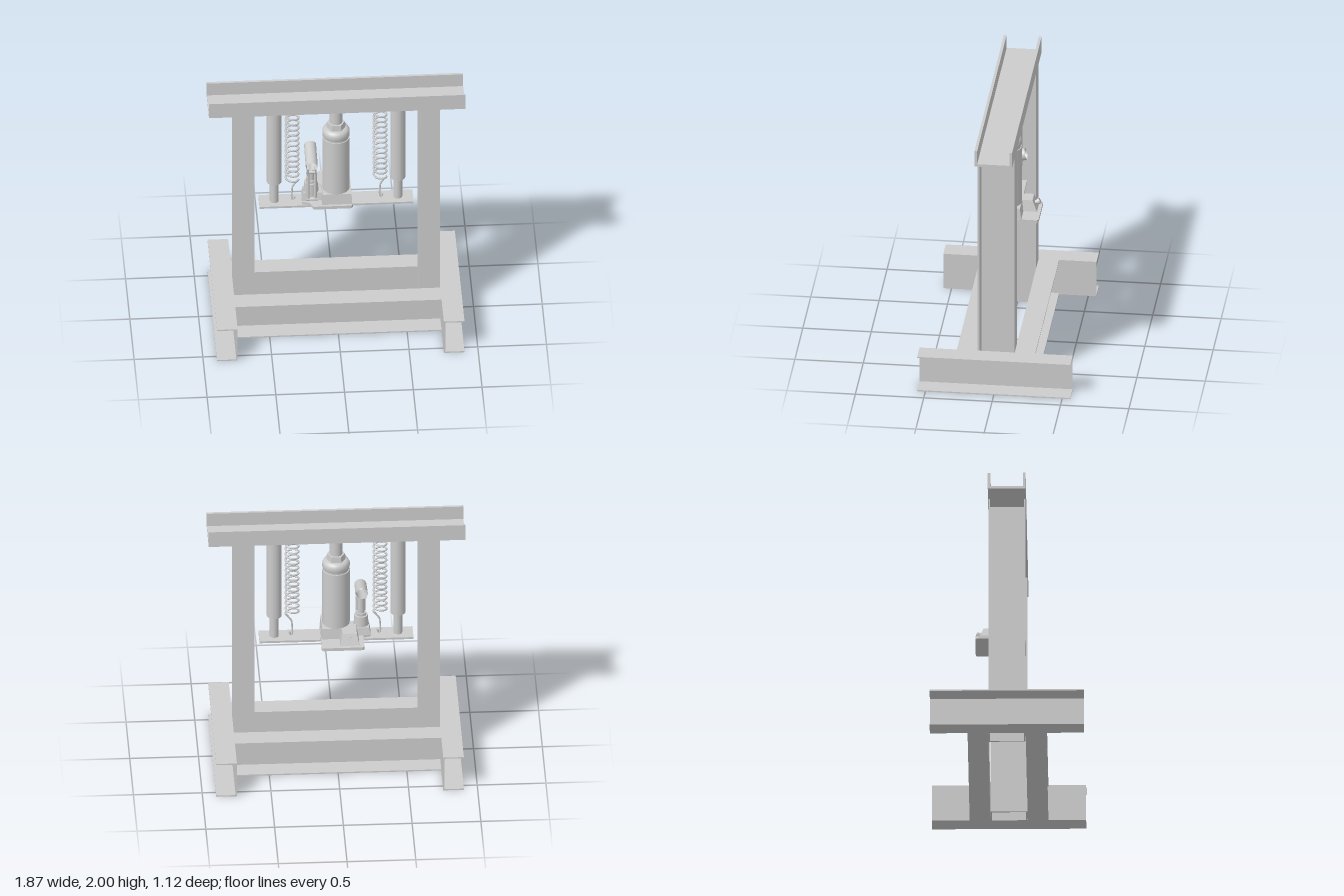
import * as THREE from 'three';

const V = (x, y, z) => new THREE.Vector3(x, y, z);

export function createModel() {
  const press = new THREE.Group();
  press.name = 'hydraulicPress';
  const steel = new THREE.MeshStandardMaterial({ color: 0xcccccc });
  const thin = new THREE.MeshStandardMaterial({ color: 0xcccccc, side: THREE.DoubleSide });

  function add(name, geo, x = 0, y = 0, z = 0, mat = steel, parent = press) {
    const m = new THREE.Mesh(geo, mat);
    m.name = name;
    m.position.set(x, y, z);
    parent.add(m);
    return m;
  }

  // U-section bar: back of the web at pos, flanges pointing along open
  function channel(name, width, depth, length, t, widthDir, open, pos) {
    const w = width / 2;
    const s = new THREE.Shape([
      [-w, 0], [w, 0], [w, depth], [w - t, depth], [w - t, t], [-w + t, t], [-w + t, depth], [-w, depth],
    ].map(([a, b]) => new THREE.Vector2(a, b)));
    const g = new THREE.ExtrudeGeometry(s, { depth: length, bevelEnabled: false });
    g.translate(0, 0, -length / 2);
    const along = widthDir.clone().cross(open);
    g.applyMatrix4(new THREE.Matrix4().makeBasis(widthDir, open, along));
    return add(name, g, pos.x, pos.y, pos.z);
  }

  // Cylinder between two heights
  function column(name, r0, r1, y0, y1, x = 0, z = 0, sides = 32, parent = press) {
    return add(name, new THREE.CylinderGeometry(r1, r0, y1 - y0, sides), x, (y0 + y1) / 2, z, steel, parent);
  }

  // Cylinder between two points
  function rod(name, a, b, r, parent, sides = 20, open = false) {
    const d = b.clone().sub(a);
    const m = add(name, new THREE.CylinderGeometry(r, r, d.length(), sides, 1, open), 0, 0, 0, open ? thin : steel, parent);
    m.position.copy(a).add(b).multiplyScalar(0.5);
    m.quaternion.setFromUnitVectors(V(0, 1, 0), d.normalize());
    return m;
  }

  // Frame
  channel('topBeam', 0.275, 0.125, 1.865, 0.02, V(0, 0, 1), V(0, 1, 0), V(0, 1.875, 0));
  for (const s of [-1, 1]) {
    const side = s > 0 ? 'left' : 'right';
    channel(side + 'Post', 0.27, 0.15, 1.875, 0.012, V(0, 0, 1), V(s, 0, 0), V(s * 0.6, 0.9375, 0));
    channel(side + 'Foot', 0.28, 0.15, 1.12, 0.01, V(0, 1, 0), V(s, 0, 0), V(s * 0.75, 0.14, 0));
    channel(s > 0 ? 'frontCrossBeam' : 'backCrossBeam', 0.28, 0.15, 1.5, 0.01,
      V(0, 1, 0), V(0, 0, s), V(0, 0.14, s * 0.136));
  }

  // Sliding plate with its telescopic guides
  add('slidingPlate', new THREE.BoxGeometry(1.12, 0.016, 0.15), 0, 1.008, 0);
  for (const s of [-1, 1]) {
    const x = s * 0.45;
    const tube = new THREE.LatheGeometry([[0.032, 0], [0.054, 0], [0.054, 0.685], [0.032, 0.685]]
      .map(([r, y]) => new THREE.Vector2(r, y)), 32);
    tube.computeVertexNormals();
    const flat = tube.toNonIndexed();
    flat.computeVertexNormals();
    add('guideTube', flat, x, 1.19, 0, thin);
    column('guideRod', 0.032, 0.032, 1.015, 1.3, x, 0, 24);
  }

  // Return springs with hooked ends
  for (const s of [-1, 1]) {
    const pts = [V(0.02, 1.05, 0), V(0.01, 1.025, 0), V(0, 1.03, 0), V(0, 1.1, 0), V(0.005, 1.14, 0), V(0.035, 1.185, 0)];
    const turns = 13, steps = turns * 12;
    for (let i = 0; i <= steps; i++) {
      const a = (i / 12) * Math.PI * 2;
      pts.push(V(Math.cos(a) * 0.048, 1.2 + 0.6 * i / steps, Math.sin(a) * 0.048));
    }
    pts.push(V(0.03, 1.815, 0), V(0.003, 1.84, 0), V(0, 1.88, 0));
    const g = new THREE.TubeGeometry(new THREE.CatmullRomCurve3(pts), 480, 0.007, 6);
    add('returnSpring', g, s * 0.32, 0, 0);
  }

  // Jack base: flange plate and tapered casting
  const jack = new THREE.Group();
  jack.name = 'bottleJack';
  press.add(jack);
  const plan = new THREE.Shape();
  plan.moveTo(-0.17, -0.13).lineTo(0.095, -0.13).quadraticCurveTo(0.115, -0.13, 0.115, -0.11);
  plan.lineTo(0.115, 0.215).quadraticCurveTo(0.115, 0.235, 0.095, 0.235);
  plan.lineTo(-0.175, 0.235).quadraticCurveTo(-0.195, 0.235, -0.195, 0.215);
  plan.lineTo(-0.195, 0.06).lineTo(-0.25, 0.045).lineTo(-0.25, -0.06).lineTo(-0.195, -0.08);
  plan.closePath();
  const plate = new THREE.ExtrudeGeometry(plan, { depth: 0.024, bevelEnabled: false });
  plate.rotateX(-Math.PI / 2);
  add('jackBase', plate, 0, 1.016, 0, steel, jack);

  // Box narrowed towards its top
  function taperedBox(w, h, d, kx, kz) {
    const g = new THREE.BoxGeometry(w, h, d);
    const p = g.attributes.position;
    for (let i = 0; i < p.count; i++) {
      if (p.getY(i) > 0) p.setXYZ(i, p.getX(i) * kx, p.getY(i), p.getZ(i) * kz);
    }
    g.computeVertexNormals();
    return g;
  }
  add('baseCasting', taperedBox(0.22, 0.085, 0.22, 0.95, 0.9), 0.002, 1.08, 0, steel, jack);
  add('pumpCasting', taperedBox(0.17, 0.06, 0.12, 0.85, 0.8), -0.165, 1.07, -0.01, steel, jack);
  add('valveCasting', taperedBox(0.14, 0.085, 0.2, 0.75, 0.65), -0.09, 1.08, -0.11, steel, jack);
  rod('releaseValve', V(-0.09, 1.075, -0.16), V(-0.09, 1.09, -0.215), 0.014, jack);
  rod('releaseKnob', V(-0.09, 1.088, -0.205), V(-0.09, 1.096, -0.225), 0.022, jack, 8);

  // Jack body, collar, neck and ram
  column('jackCylinder', 0.1, 0.1, 1.1, 1.575, 0, 0, 40, jack);
  column('cylinderSeat', 0.093, 0.093, 1.57, 1.59, 0, 0, 40, jack);
  const collar = [[0, 1.585], [0.09, 1.585], [0.1, 1.6], [0.1, 1.63], [0.09, 1.65], [0.07, 1.66], [0, 1.66]];
  add('collar', new THREE.LatheGeometry(collar.map(([r, y]) => new THREE.Vector2(r, y)), 40), 0, 0, 0, steel, jack);
  const nut = column('hexNeck', 0.072, 0.066, 1.65, 1.705, 0, 0, 6, jack);
  nut.rotation.y = Math.PI / 6;
  nut.geometry = nut.geometry.toNonIndexed();
  nut.geometry.computeVertexNormals();
  column('ram', 0.046, 0.046, 1.7, 1.825, 0, 0, 32, jack);
  const cap = [[0, 1.815], [0.045, 1.815], [0.057, 1.83], [0.057, 1.85], [0.048, 1.875], [0, 1.875]];
  add('ramCap', new THREE.LatheGeometry(cap.map(([r, y]) => new THREE.Vector2(r, y)), 32), 0, 0, 0, steel, jack);

  // Hand pump with link plates, pivot pins and handle socket
  const pump = new THREE.Group();
  pump.name = 'handPump';
  pump.position.x = -0.182;
  jack.add(pump);
  column('pumpBarrel', 0.055, 0.05, 1.08, 1.18, 0, 0, 24, pump);
  column('pumpNut', 0.04, 0.04, 1.18, 1.2, 0, 0, 6, pump);
  column('pumpPiston', 0.026, 0.026, 1.19, 1.33, 0, 0, 20, pump);
  for (const s of [-1, 1]) {
    rod('linkPlate', V(s * 0.026, 1.07, 0.085), V(s * 0.026, 1.32, 0.085), 0.011, pump, 8);
    const ear = add('socketEar', new THREE.BoxGeometry(0.012, 0.07, 0.13), s * 0.028, 1.345, 0.04, steel, pump);
    ear.rotation.x = 0.25;
  }
  for (const [y, z] of [[1.08, 0.085], [1.32, 0.085], [1.33, 0]]) {
    rod('pivotPin', V(-0.04, y, z), V(0.04, y, z), 0.013, pump, 12);
  }
  rod('handleSocket', V(0, 1.375, 0.09), V(0, 1.425, -0.11), 0.044, pump, 28, true);
  rod('handleSocketLining', V(0, 1.375, 0.09), V(0, 1.425, -0.11), 0.038, pump, 28, true);

  return press;
}
